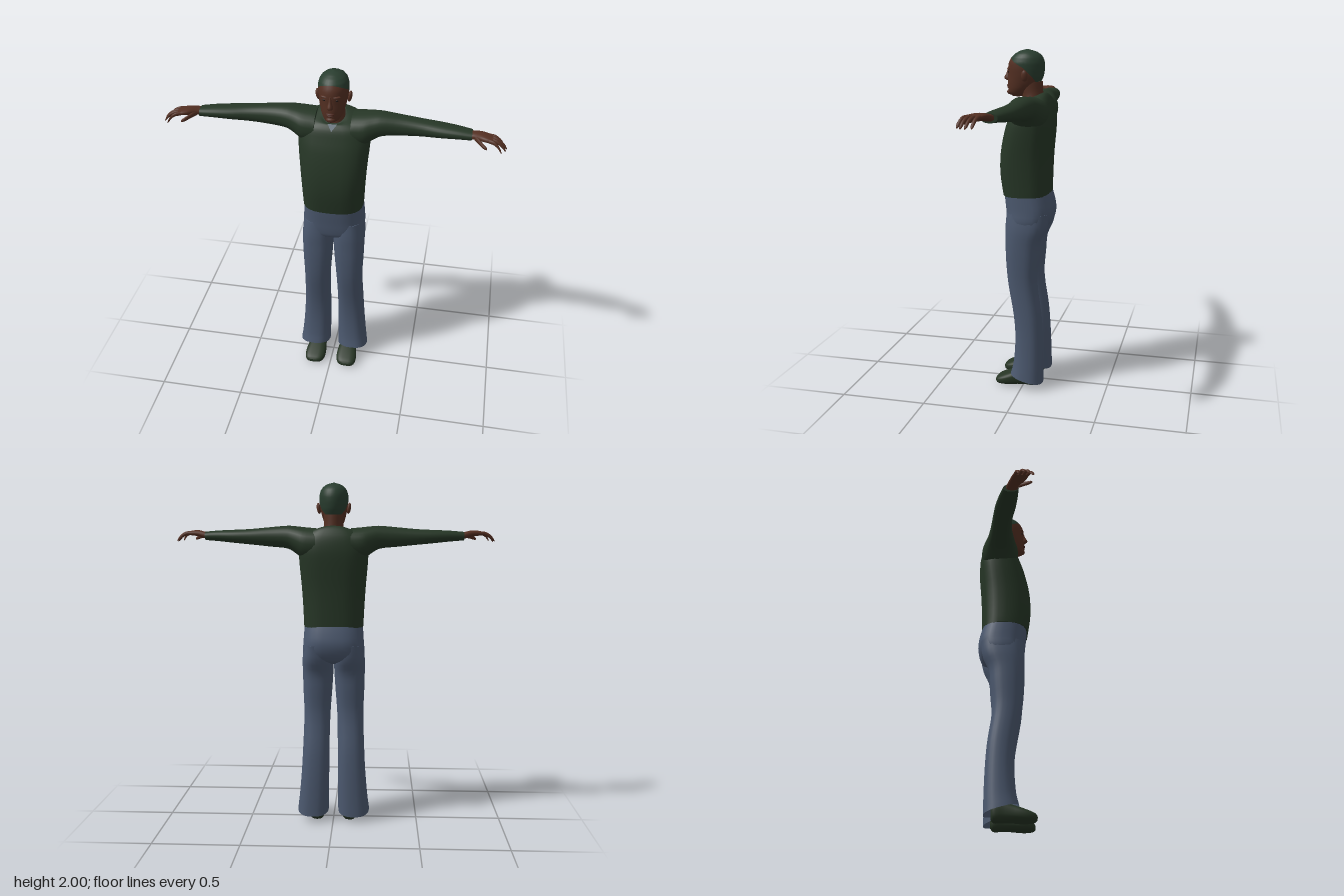
import * as THREE from 'three';

const mat = (name, color, side = THREE.FrontSide) => {
  const m = new THREE.MeshStandardMaterial({ color, side });
  m.name = name;
  return m;
};

// Closed superellipse ring in the plane across an axis; tilt shifts the ring along the axis from v0 to v1.
function ring(axis, pos, u0, u1, v0, v1, power = 2.3, tilt = 0, n = 28) {
  const pts = [];
  for (let i = 0; i < n; i++) {
    const a = (i / n) * Math.PI * 2, c = Math.cos(a), s = Math.sin(a);
    const cu = Math.sign(c) * Math.abs(c) ** (2 / power), sv = Math.sign(s) * Math.abs(s) ** (2 / power);
    const u = (u0 + u1) / 2 + cu * (u1 - u0) / 2, v = (v0 + v1) / 2 + sv * (v1 - v0) / 2;
    const p = pos + tilt * (sv + 1) / 2;
    pts.push(axis === 'x' ? new THREE.Vector3(p, u, v)
      : axis === 'y' ? new THREE.Vector3(u, p, v) : new THREE.Vector3(u, v, p));
  }
  return pts;
}

// Smooth skin through rings, with optional end caps; side = -1 mirrors it across x.
function loft(rings, { steps = 3, caps = [true, true], side = 1 } = {}) {
  const n = rings[0].length, rows = (rings.length - 1) * steps;
  const columns = rings[0].map((_, j) => new THREE.CatmullRomCurve3(rings.map(r => r[j]), false, 'centripetal'));
  const pts = [], index = [];
  for (let i = 0; i <= rows; i++) columns.forEach(c => pts.push(c.getPoint(i / rows)));
  for (let i = 0; i < rows; i++) for (let j = 0; j < n; j++) {
    const a = i * n + j, b = i * n + (j + 1) % n;
    index.push(a, b, a + n, b, b + n, a + n);
  }
  [0, rows].forEach((row, k) => {
    if (!caps[k]) return;
    const edge = pts.slice(row * n, row * n + n).map(p => p.clone()), base = pts.length;
    const mid = edge.reduce((s, p) => s.add(p), new THREE.Vector3()).divideScalar(n);
    pts.push(...edge, mid);
    for (let j = 0; j < n; j++) {
      const a = base + j, b = base + (j + 1) % n;
      index.push(...(k ? [a, b, base + n] : [b, a, base + n]));
    }
  });
  pts.forEach(p => { p.x *= side; });
  // Turn the faces outward
  const c = pts.reduce((s, p) => s.add(p), new THREE.Vector3()).divideScalar(pts.length);
  let volume = 0;
  for (let i = 0; i < index.length; i += 3) {
    const [p, q, r] = [0, 1, 2].map(k => pts[index[i + k]].clone().sub(c));
    volume += p.dot(q.cross(r));
  }
  if (volume < 0) index.reverse();
  const g = new THREE.BufferGeometry().setFromPoints(pts);
  g.setIndex(index);
  g.computeVertexNormals();
  return g;
}

// Head outline: y, front z, back z, half width
const HEAD = [
  [1.735, .085, .03, .024], [1.75, .111, -.005, .044], [1.78, .113, -.04, .06], [1.81, .115, -.075, .069],
  [1.85, .112, -.094, .078], [1.89, .113, -.1, .083], [1.925, .108, -.1, .084], [1.955, .092, -.09, .076],
  [1.975, .07, -.073, .062], [1.99, .043, -.045, .04], [1.998, .015, -.015, .015], [2, .003, -.003, .003]];
function headPoint(a, y) {
  let i = 0;
  while (i < HEAD.length - 2 && y > HEAD[i + 1][0]) i++;
  const t = (y - HEAD[i][0]) / (HEAD[i + 1][0] - HEAD[i][0]);
  const [, f, b, w] = HEAD[i].map((v, k) => v + (HEAD[i + 1][k] - v) * t);
  return new THREE.Vector3(Math.cos(a) * w, y, (f + b) / 2 + Math.sin(a) * (f - b) / 2);
}
const hairline = a => { const s = Math.sin(a); return 1.897 + (s > 0 ? .056 : .1) * s; };
function headPatch(low, high, rows) {
  const rings = [];
  for (let i = 0; i <= rows; i++) rings.push(Array.from({ length: 32 }, (_, j) => {
    const a = j / 32 * Math.PI * 2;
    return headPoint(a, low(a) + (high(a) - low(a)) * i / rows);
  }));
  return rings;
}

export function createModel() {
  const model = new THREE.Group();
  model.name = 'standingMan';
  const sweater = mat('darkGreenSweater', 0x263626, THREE.DoubleSide);
  const denim = mat('blueGreyTrousers', 0x4b586e, THREE.DoubleSide);
  const skin = mat('brownSkin', 0x532f22);
  const lip = mat('lips', 0x4a261d);
  const hair = mat('darkGreenHair', 0x293d2f);
  const shoe = mat('darkShoes', 0x263424);
  const shirt = mat('greyUndershirt', 0x56636f, THREE.DoubleSide);
  const eye = mat('darkEyes', 0x1d1512);
  const add = (name, geometry, material) => {
    const m = new THREE.Mesh(geometry, material);
    m.name = name;
    model.add(m);
    return m;
  };
  const blob = (name, material, x, y, z, rx, ry, rz) => {
    const m = add(name, new THREE.SphereGeometry(1, 16, 10), material);
    m.position.set(x, y, z);
    m.scale.set(rx, ry, rz);
    return m;
  };

  // Sweater body: back y, tilt to front, half width, back z, front z
  add('sweaterBody', loft([
    [1.175, -.005, .174, -.142, .131], [1.3, 0, .18, -.145, .149], [1.42, 0, .188, -.15, .145],
    [1.55, 0, .199, -.16, .118], [1.62, 0, .2, -.161, .094], [1.69, -.02, .185, -.15, .074],
    [1.735, -.042, .14, -.128, .056], [1.755, -.055, .085, -.108, .047], [1.757, -.057, .062, -.09, .035],
  ].map(([y, t, w, b, f]) => ring('y', y, -w, w, b, f, 2.7, t))), sweater);

  // Undershirt showing at the neckline
  const patch = new THREE.BufferGeometry().setFromPoints([
    new THREE.Vector3(-.026, 1.704, .05), new THREE.Vector3(0, 1.674, .083), new THREE.Vector3(.026, 1.704, .05)]);
  patch.computeVertexNormals();
  add('undershirtCollar', patch, shirt);

  // Trouser seat: y, half width, back z, front z
  add('trouserSeat', loft([
    [1.195, .17, -.139, .127], [1.14, .174, -.155, .122], [1.08, .178, -.165, .115],
    [1.02, .181, -.152, .108], [.98, .165, -.125, .096], [.955, .09, -.07, .05],
  ].map(([y, w, b, f]) => ring('y', y, -w, w, b, f, 2.6))), denim);

  // Neck, face and hair
  add('neck', loft([
    [1.68, .068, -.1, .035], [1.74, .058, -.092, .03], [1.77, .056, -.09, .04], [1.82, .058, -.088, .05],
  ].map(([y, w, b, f]) => ring('y', y, -w, w, b, f, 2))), skin);
  add('face', loft(headPatch(() => 1.735, hairline, 14), { steps: 1, caps: [true, false] }), skin);
  add('hair', loft(headPatch(hairline, () => 2, 14), { steps: 1, caps: [false, true] }), hair);
  add('nose', loft([
    [1.895, .007, .09, .114], [1.865, .01, .09, .124], [1.838, .016, .09, .137], [1.825, .015, .09, .124],
  ].map(([y, w, b, f]) => ring('y', y, -w, w, b, f, 2, 0, 14))), skin);
  blob('upperLip', lip, 0, 1.797, .11, .024, .006, .011);
  blob('lowerLip', lip, 0, 1.786, .108, .02, .006, .011);
  blob('chin', skin, 0, 1.76, .098, .027, .017, .022);

  for (const side of [1, -1]) {
    const label = side > 0 ? 'left' : 'right';
    const part = (name, axis, rows, material, power = 2.2, n = 28, caps) => add(label + name,
      loft(rows.map(r => ring(axis, ...r.slice(0, 5), power, r[5] || 0, n)), { side, caps }), material);

    // Face details
    blob(label + 'Eye', eye, side * .033, 1.873, .102, .011, .0045, .004);
    blob(label + 'Brow', skin, side * .033, 1.892, .1, .022, .006, .011).rotation.y = side * .3;
    blob(label + 'Ear', skin, side * .087, 1.855, -.002, .012, .032, .019).rotation.z = -side * .15;

    // Sleeve: x, bottom y, top y, back z, front z
    part('Sleeve', 'x', [
      [.1, 1.56, 1.742, -.15, .07], [.17, 1.565, 1.748, -.145, .07], [.215, 1.597, 1.753, -.128, .055],
      [.26, 1.624, 1.756, -.112, .043], [.36, 1.636, 1.748, -.096, .028], [.48, 1.648, 1.737, -.084, .03],
      [.58, 1.657, 1.732, -.072, .045], [.67, 1.666, 1.728, -.052, .053], [.75, 1.672, 1.721, -.03, .056],
    ], sweater);

    // Hand
    part('Palm', 'x', [
      [.735, 1.677, 1.715, -.016, .045], [.765, 1.684, 1.722, -.01, .06], [.8, 1.693, 1.729, .004, .088],
      [.835, 1.697, 1.727, .016, .104], [.86, 1.7, 1.722, .026, .104],
    ], skin, 2.4, 18);
    [[.032, .05, .922], [.053, .079, .935], [.074, .105, .93], [.094, .128, .908]].forEach(([z0, z1, tip], k) => {
      const path = [[0, 1.712, .0115], [.4, 1.71, .011], [.7, 1.697, .0095], [.92, 1.677, .008], [1, 1.667, .004]];
      part('Finger' + (k + 1), 'x', path.map(([t, y, r]) => {
        const z = z0 + (z1 - z0) * t;
        return [.838 + (tip - .838) * t, y - r, y + r, z - r, z + r];
      }), skin, 2, 10);
    });
    part('Thumb', 'x', [
      [.765, 1.685, 1.715, .03, .062], [.785, 1.682, 1.71, .058, .09], [.805, 1.677, 1.701, .086, .114],
      [.824, 1.672, 1.691, .104, .126], [.832, 1.673, 1.683, .114, .126],
    ], skin, 2, 12);

    // Trouser leg: back y, inner x, outer x, back z, front z, tilt to front
    part('TrouserLeg', 'y', [
      [1.07, .01, .174, -.15, .1], [.98, .001, .184, -.135, .107], [.9, .003, .184, -.1, .106],
      [.8, .009, .182, -.09, .104], [.65, .02, .177, -.08, .091], [.45, .025, .183, -.107, .056],
      [.3, .026, .191, -.118, .045], [.15, .027, .204, -.123, .055], [.035, .028, .215, -.125, .07, .052],
    ], denim, 2.4, 28, [true, false]);

    // Shoe: z, inner x, outer x, bottom y, top y
    part('Shoe', 'z', [
      [-.085, .07, .125, .02, .08], [-.07, .055, .14, .002, .11], [-.02, .05, .145, .003, .12],
      [.03, .043, .153, .003, .098], [.08, .037, .162, 0, .08], [.125, .04, .163, .001, .062],
      [.155, .055, .152, .006, .047], [.167, .08, .13, .015, .034],
    ], shoe, 2.8);
  }
  return model;
}
